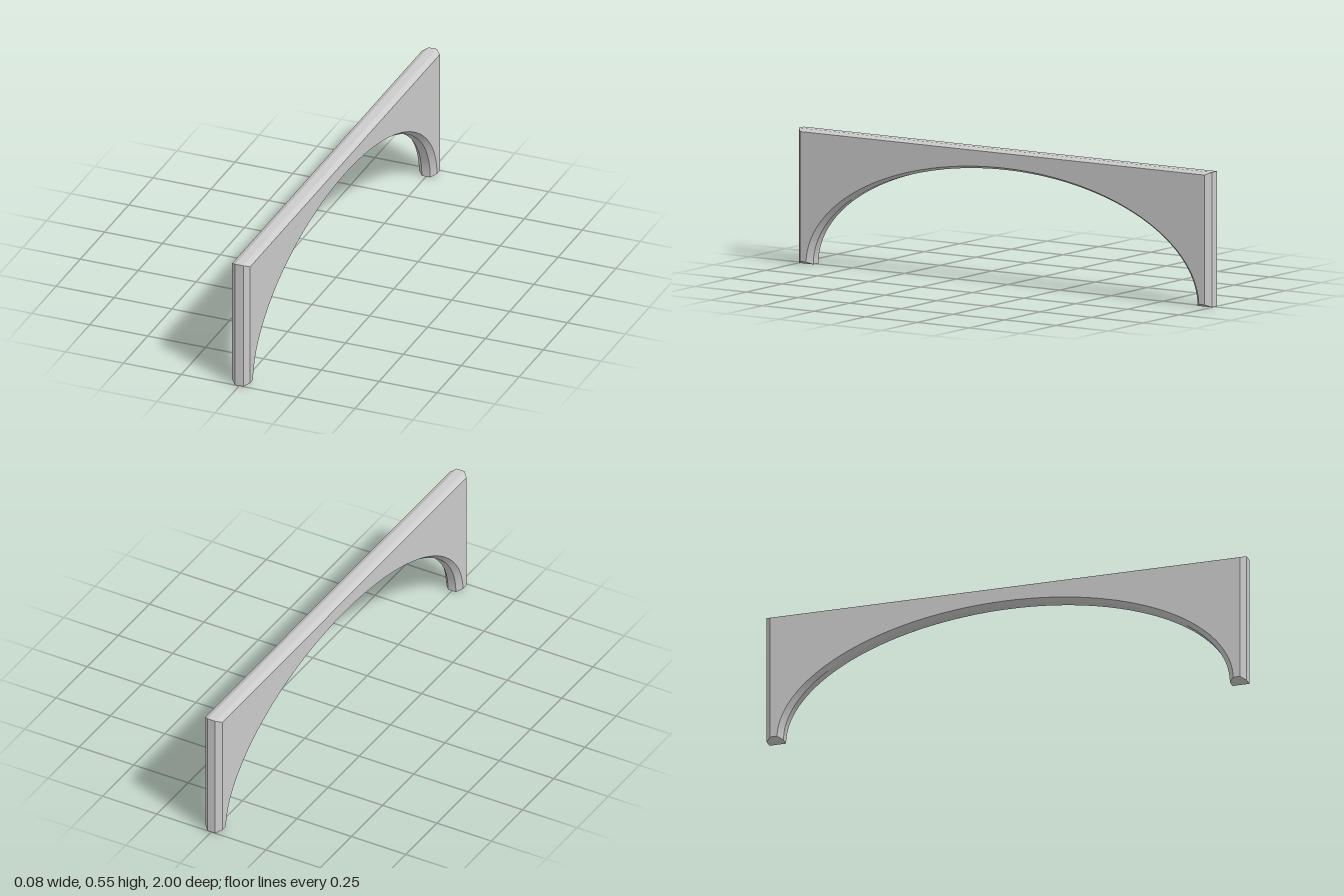
import * as THREE from 'three';
import { toCreasedNormals } from 'three/addons/utils/BufferGeometryUtils.js';

const HEIGHT = 0.545;   // overall height
const SQUASH = 0.5;     // flattens the semicircle to a half ellipse
const RADIUS = 0.93;    // half span of the opening
const CHAMFER = 0.021;

export function createModel() {
  const group = new THREE.Group();
  group.name = 'archSpan';

  // Rectangular slab with a semicircular opening cut from below
  const top = HEIGHT / SQUASH;
  const shape = new THREE.Shape();
  shape.moveTo(RADIUS, 0);
  shape.lineTo(1, 0);
  shape.lineTo(1, top);
  shape.lineTo(-1, top);
  shape.lineTo(-1, 0);
  shape.lineTo(-RADIUS, 0);
  shape.absarc(0, 0, RADIUS, Math.PI, 0, true);

  // Thin extrusion with a single chamfer around both faces
  const depth = 0.036;
  const slab = new THREE.ExtrudeGeometry(shape, {
    depth,
    curveSegments: 48,
    bevelEnabled: true,
    bevelSegments: 1,
    bevelThickness: CHAMFER,
    bevelSize: CHAMFER,
    bevelOffset: -CHAMFER,
  });
  slab.translate(0, 0, -depth / 2);
  slab.scale(1, SQUASH, 1);
  slab.rotateY(Math.PI / 2);

  // Smooth soffit, crisp chamfers
  const arch = new THREE.Mesh(
    toCreasedNormals(slab, 0.3),
    new THREE.MeshStandardMaterial({ color: 0xcccccc })
  );
  arch.name = 'arch';
  group.add(arch);
  return group;
}
